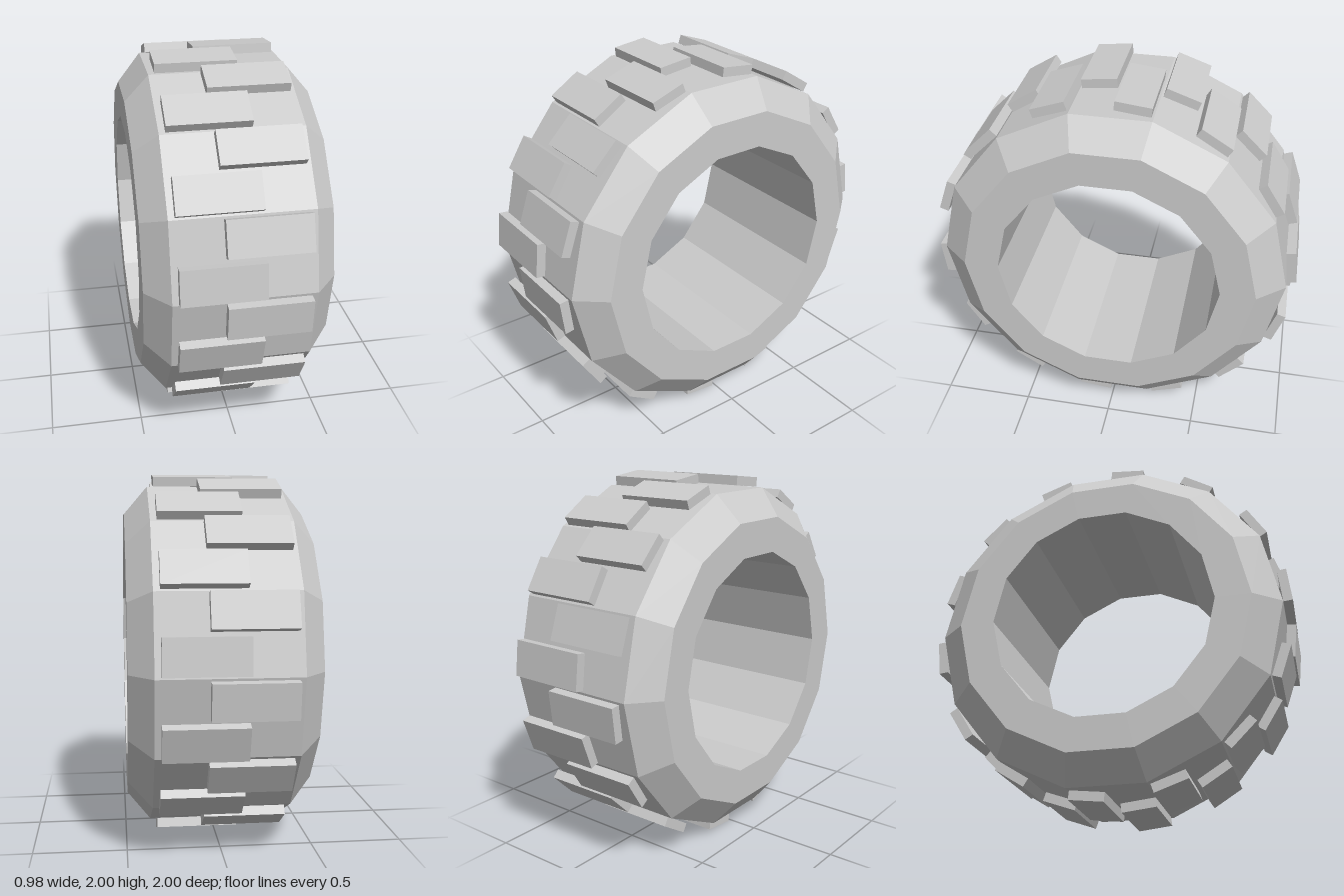
import * as THREE from 'three';

const SIDES = 14;
const BLOCKS = 28;

export function createModel() {
  const model = new THREE.Group();
  model.name = 'tyre';
  const material = new THREE.MeshStandardMaterial({ color: 0xcccccc, flatShading: true });

  // Low-poly ring: sidewalls, bevelled shoulders, flat tread and inner bore
  const profile = [
    [0.61, -0.49], [0.80, -0.49], [0.95, -0.365],
    [0.95, 0.365], [0.80, 0.49], [0.61, 0.49], [0.61, -0.49],
  ].map(([r, x]) => new THREE.Vector2(r, x));
  const ringGeometry = new THREE.LatheGeometry(profile, SIDES).toNonIndexed();
  ringGeometry.computeVertexNormals();
  ringGeometry.rotateZ(-Math.PI / 2); // axle along x
  const ring = new THREE.Mesh(ringGeometry, material);
  ring.name = 'tyreBody';
  ring.position.y = 1;
  model.add(ring);

  // Tread blocks, staggered alternately to either side of the centre line
  const tread = new THREE.Group();
  tread.name = 'tread';
  tread.position.y = 1;
  const blockGeometry = new THREE.BoxGeometry(0.43, 0.19, 0.05);
  for (let i = 0; i < BLOCKS; i++) {
    const angle = ((i + 0.5) / BLOCKS) * Math.PI * 2;
    const block = new THREE.Mesh(blockGeometry, material);
    block.name = 'treadBlock';
    const radius = 0.971;
    block.position.set(i % 2 ? 0.117 : -0.118, Math.sin(angle) * radius, Math.cos(angle) * radius);
    block.rotation.x = -angle;
    tread.add(block);
  }
  model.add(tread);

  return model;
}
